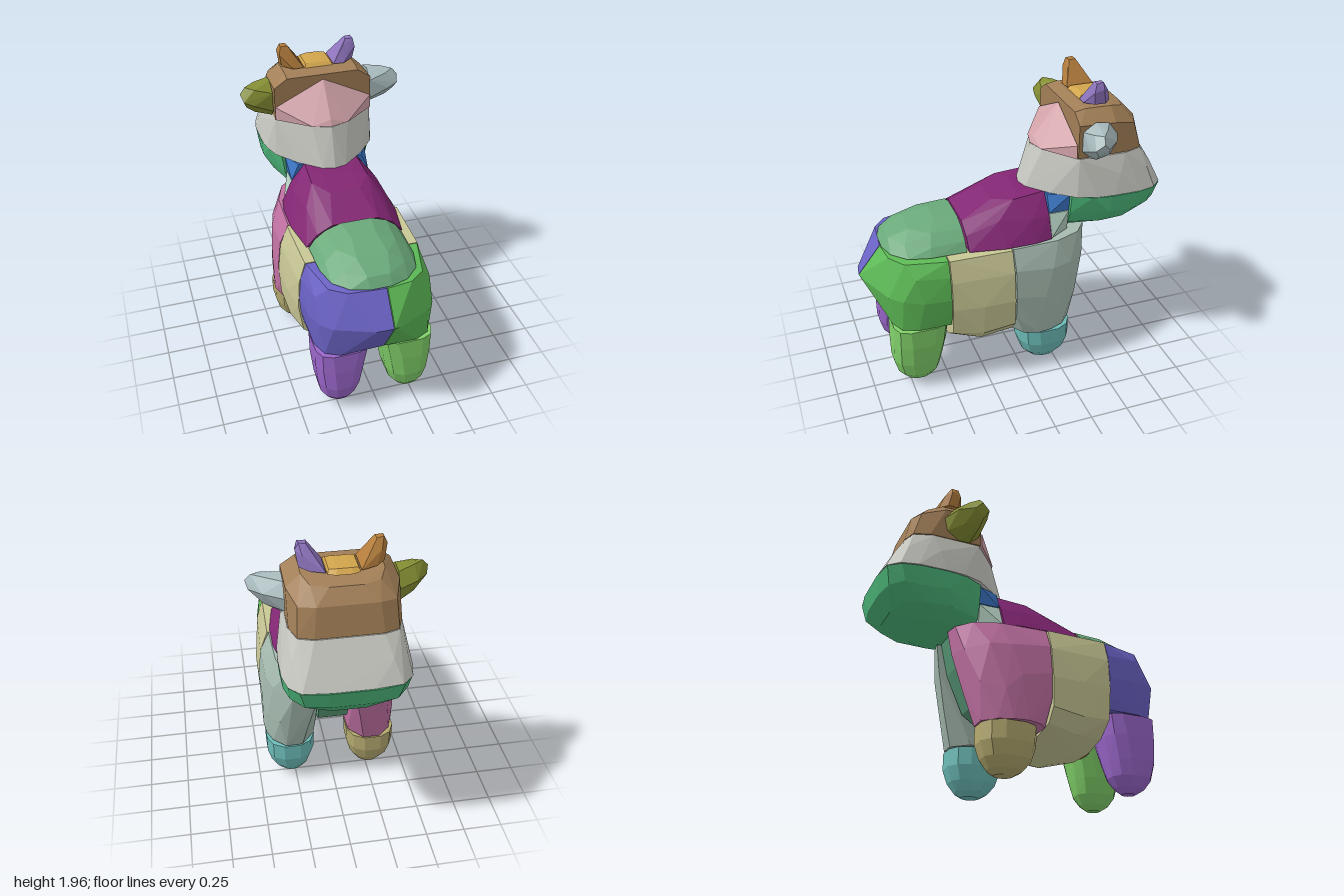
import * as THREE from 'three';
import { ConvexGeometry } from 'three/addons/geometries/ConvexGeometry.js';

const V = (x, y, z) => new THREE.Vector3(x, y, z);
const pts = (list) => list.map((p) => V(...p));
const flip = (points) => points.map((p) => V(-p.x, p.y, p.z));
const sym = (list) => { const p = pts(list); return [...p, ...flip(p)]; };

// Horizontal rounded sections: [y, x0, x1, z0, z1, squareness]
function sections(rows, n = 12) {
  const out = [];
  for (const [y, x0, x1, z0, z1, e = 1] of rows) {
    for (let i = 0; i < n; i++) {
      const a = ((i + 0.5) / n) * Math.PI * 2, c = Math.cos(a), s = Math.sin(a);
      out.push(V((x0 + x1) / 2 + (x1 - x0) / 2 * Math.sign(c) * Math.abs(c) ** e, y,
        (z0 + z1) / 2 + (z1 - z0) / 2 * Math.sign(s) * Math.abs(s) ** e));
    }
  }
  return out;
}

// Half of the hindquarters, with its inner wall at x = inner
const haunch = (inner) => pts([
  [inner, 0.962, 0.485], [inner, 0.49, 0.485], [inner, 0.962, 0.85], [inner, 0.77, 1.0], [inner, 0.49, 0.84],
  [0.365, 0.962, 0.485], [0.4, 0.86, 0.485], [0.415, 0.7, 0.485], [0.405, 0.58, 0.485], [0.387, 0.49, 0.485],
  [0.2, 0.962, 0.83], [0.3, 0.955, 0.75], [0.37, 0.87, 0.7], [0.4, 0.7, 0.66],
  [0.07, 0.76, 0.987], [0.3, 0.73, 0.865], [0.365, 0.72, 0.785], [0.38, 0.49, 0.7],
  [0.34, 0.49, 0.8], [0.25, 0.49, 0.845]]);

export function createModel() {
  const cow = new THREE.Group();
  cow.name = 'cow';

  const hull = (name, color, points) => {
    const mesh = new THREE.Mesh(new ConvexGeometry(points),
      new THREE.MeshStandardMaterial({ color, flatShading: true }));
    mesh.name = name;
    cow.add(mesh);
  };
  const pair = (name, leftColor, rightColor, points) => {
    hull(name + 'Left', leftColor, points);
    hull(name + 'Right', rightColor, flip(points));
  };

  // Hindquarters, meeting just left of the centre line
  hull('haunchLeft', 0x5dba56, haunch(0.04));
  hull('haunchRight', 0x6a62c4, flip(haunch(-0.035)));
  pair('hindLeg', 0x80cf69, 0x9b67cb, sections([
    [0.483, 0.035, 0.388, 0.485, 0.85, 0.55], [0.35, 0.055, 0.39, 0.495, 0.86, 0.7],
    [0.2, 0.08, 0.375, 0.525, 0.862, 0.82], [0.1, 0.11, 0.355, 0.55, 0.835, 0.9],
    [0.04, 0.15, 0.315, 0.59, 0.79], [0.005, 0.19, 0.27, 0.64, 0.73]]));
  hull('rumpTop', 0x6aa97a, sym([
    [0.31, 0.97, 0.348], [0.27, 1.03, 0.348], [0.2, 1.085, 0.348], [0.1, 1.12, 0.348],
    [0.305, 0.97, 0.58], [0.265, 1.02, 0.57], [0.19, 1.08, 0.55], [0.08, 1.12, 0.5],
    [0.27, 0.97, 0.72], [0.18, 0.97, 0.81], [0.07, 0.97, 0.845], [0.19, 1.03, 0.72], [0.07, 1.03, 0.8], [0.1, 1.085, 0.67]]));
  hull('udder', 0xa5713f, sections([[0.475, -0.09, 0.06, 0.485, 0.62, 0.5], [0.29, -0.07, 0.045, 0.485, 0.5, 0.5]], 8));

  // Barrel of the body
  hull('belly', 0xc9c896, sym([
    [0.38, 0.963, 0.068], [0.43, 0.82, 0.068], [0.45, 0.62, 0.068], [0.44, 0.43, 0.068], [0.37, 0.345, 0.068], [0.15, 0.3, 0.068],
    [0.43, 0.4, 0.28], [0.35, 0.305, 0.28], [0.22, 0.255, 0.28], [0.08, 0.24, 0.28], [0.447, 0.62, 0.28],
    [0.37, 0.963, 0.48], [0.41, 0.82, 0.48], [0.42, 0.62, 0.48], [0.39, 0.42, 0.48], [0.27, 0.33, 0.48], [0.1, 0.285, 0.48]]));
  hull('back', 0x822673, sym([
    [0.32, 0.97, 0.335], [0.25, 1.05, 0.335], [0.15, 1.105, 0.335], [0.36, 0.97, 0.1], [0.36, 0.97, -0.1],
    [0.26, 1.12, 0.12], [0.1, 1.2, 0.12], [0.29, 1.11, -0.1], [0.19, 1.22, 0], [0.1, 1.235, -0.05],
    [0.34, 0.97, -0.215], [0.28, 1.11, -0.215], [0.18, 1.24, -0.215]]));

  // Shoulders, rounded down to the hoof line
  pair('shoulder', 0xa6bbb0, 0xc272a4, pts([
    [0.08, 0.963, 0.06], [0.37, 0.963, 0.06], [0.43, 0.83, 0.06], [0.45, 0.64, 0.06], [0.437, 0.47, 0.06],
    [0.34, 0.32, 0.055], [0.18, 0.315, 0.05], [0.08, 0.5, 0.06], [0.41, 0.315, 0.0], [0.445, 0.315, -0.1],
    [0.36, 0.963, -0.25], [0.425, 0.8, -0.2], [0.447, 0.6, -0.14], [0.435, 0.315, -0.19], [0.39, 0.8, -0.33], [0.43, 0.5, -0.24],
    [0.3, 0.963, -0.41], [0.2, 0.963, -0.49], [0.1, 0.963, -0.505], [0.12, 0.8, -0.48], [0.28, 0.78, -0.455],
    [0.4, 0.315, -0.28], [0.32, 0.315, -0.355], [0.21, 0.315, -0.355], [0.12, 0.315, -0.25], [0.115, 0.315, -0.05],
    [0.36, 0.55, -0.38], [0.17, 0.55, -0.42]]));
  hull('chest', 0x5a9a78, sym([
    [0.09, 0.963, 0.06], [0.09, 0.33, 0.06], [0.09, 0.963, -0.48], [0.1, 0.75, -0.43], [0.1, 0.5, -0.32], [0.08, 0.37, -0.15]]));
  pair('frontHoof', 0x6dbdb9, 0xb3a96f, sections([
    [0.305, 0.11, 0.443, -0.36, 0.01, 0.8], [0.19, 0.115, 0.44, -0.362, 0.003, 0.82],
    [0.1, 0.14, 0.415, -0.335, -0.025, 0.9], [0.04, 0.175, 0.37, -0.295, -0.075], [0.01, 0.22, 0.32, -0.25, -0.13]]));

  // Neck
  hull('neckLower', 0xb5d0c2, sym([
    [0.33, 0.97, -0.22], [0.27, 1.115, -0.22], [0.25, 0.97, -0.355], [0.27, 1.115, -0.355]]));
  hull('neckUpper', 0x3a75c4, sym([
    [0.27, 1.12, -0.22], [0.22, 1.235, -0.22], [0.27, 1.12, -0.355], [0.28, 1.235, -0.355]]));

  // Head: the jaw widens away from the neck
  hull('jaw', 0x4db87b, sym([
    [0.3, 1.235, -0.36], [0.28, 1.1, -0.36], [0.25, 1.02, -0.36], [0.18, 0.967, -0.36],
    [0.365, 1.235, -0.48], [0.385, 1.235, -0.6], [0.375, 1.12, -0.6], [0.32, 1.03, -0.56], [0.2, 0.97, -0.55],
    [0.385, 1.235, -0.78], [0.37, 1.11, -0.74], [0.31, 1.03, -0.72], [0.17, 0.98, -0.7],
    [0.36, 1.235, -0.9], [0.3, 1.235, -0.975], [0.15, 1.235, -1.0], [0.345, 1.13, -0.87], [0.27, 1.12, -0.95],
    [0.12, 1.12, -0.975], [0.24, 1.04, -0.85], [0.1, 1.025, -0.89]]));
  hull('muzzle', 0xcacac4, sym([
    [0, 1.24, -0.1], [0.08, 1.24, -0.12], [0.22, 1.24, -0.24], [0.335, 1.24, -0.38], [0.375, 1.24, -0.5], [0.385, 1.24, -0.62],
    [0.385, 1.24, -0.8], [0.36, 1.24, -0.91], [0.29, 1.24, -0.98], [0.12, 1.24, -0.998],
    [0.365, 1.38, -0.66], [0.33, 1.38, -0.86], [0.24, 1.38, -0.92], [0.35, 1.38, -0.45],
    [0, 1.505, -0.18], [0.12, 1.505, -0.22], [0.325, 1.505, -0.39], [0.33, 1.505, -0.7], [0.29, 1.505, -0.82], [0.2, 1.505, -0.85]]));
  hull('head', 0xa27f57, sym([
    [0.327, 1.51, -0.378], [0.327, 1.73, -0.378], [0.24, 1.79, -0.378], [0.24, 1.803, -0.45],
    [0.327, 1.51, -0.72], [0.327, 1.72, -0.62], [0.24, 1.8, -0.62], [0.29, 1.51, -0.82], [0.2, 1.51, -0.85],
    [0.28, 1.68, -0.77], [0.18, 1.69, -0.81], [0.2, 1.775, -0.71], [0.1, 1.77, -0.74]]));
  hull('nape', 0xd3a4aa, sym([
    [0, 1.76, -0.37], [0.04, 1.74, -0.37], [0.325, 1.6, -0.37], [0.327, 1.51, -0.37], [0.12, 1.51, -0.21],
    [0, 1.51, -0.18], [0, 1.55, -0.2]]));
  hull('poll', 0xd2a54c, sym([
    [0.095, 1.805, -0.47], [0.095, 1.805, -0.66], [0.085, 1.825, -0.49], [0.085, 1.825, -0.64],
    [0.04, 1.83, -0.5], [0.04, 1.83, -0.65], [0.05, 1.805, -0.68]]));

  // Ears: broad base, blunt tip
  pair('ear', 0xa9bbbe, 0x868f34, pts([
    [0.333, 1.505, -0.46], [0.333, 1.505, -0.53], [0.333, 1.56, -0.61], [0.333, 1.65, -0.63], [0.333, 1.73, -0.57],
    [0.333, 1.745, -0.48], [0.333, 1.69, -0.4], [0.333, 1.56, -0.4], [0.45, 1.555, -0.44], [0.44, 1.57, -0.53],
    [0.45, 1.66, -0.575], [0.44, 1.735, -0.51], [0.45, 1.72, -0.42], [0.46, 1.62, -0.39],
    [0.505, 1.73, -0.46], [0.54, 1.69, -0.45], [0.525, 1.65, -0.4], [0.505, 1.6, -0.43], [0.525, 1.65, -0.49]]));

  // Horns: wide on the inside, leaning outward to a blunt tip
  pair('horn', 0x8f75bf, 0xb57e3d, pts([
    [0.1, 1.81, -0.47], [0.1, 1.81, -0.655], [0.19, 1.815, -0.63], [0.245, 1.82, -0.58], [0.24, 1.82, -0.51], [0.17, 1.81, -0.465],
    [0.17, 1.91, -0.5], [0.165, 1.9, -0.59], [0.225, 1.9, -0.6], [0.262, 1.92, -0.56], [0.255, 1.9, -0.5],
    [0.195, 1.955, -0.52], [0.2, 1.955, -0.565], [0.24, 1.96, -0.56], [0.245, 1.955, -0.515]]));

  return cow;
}
